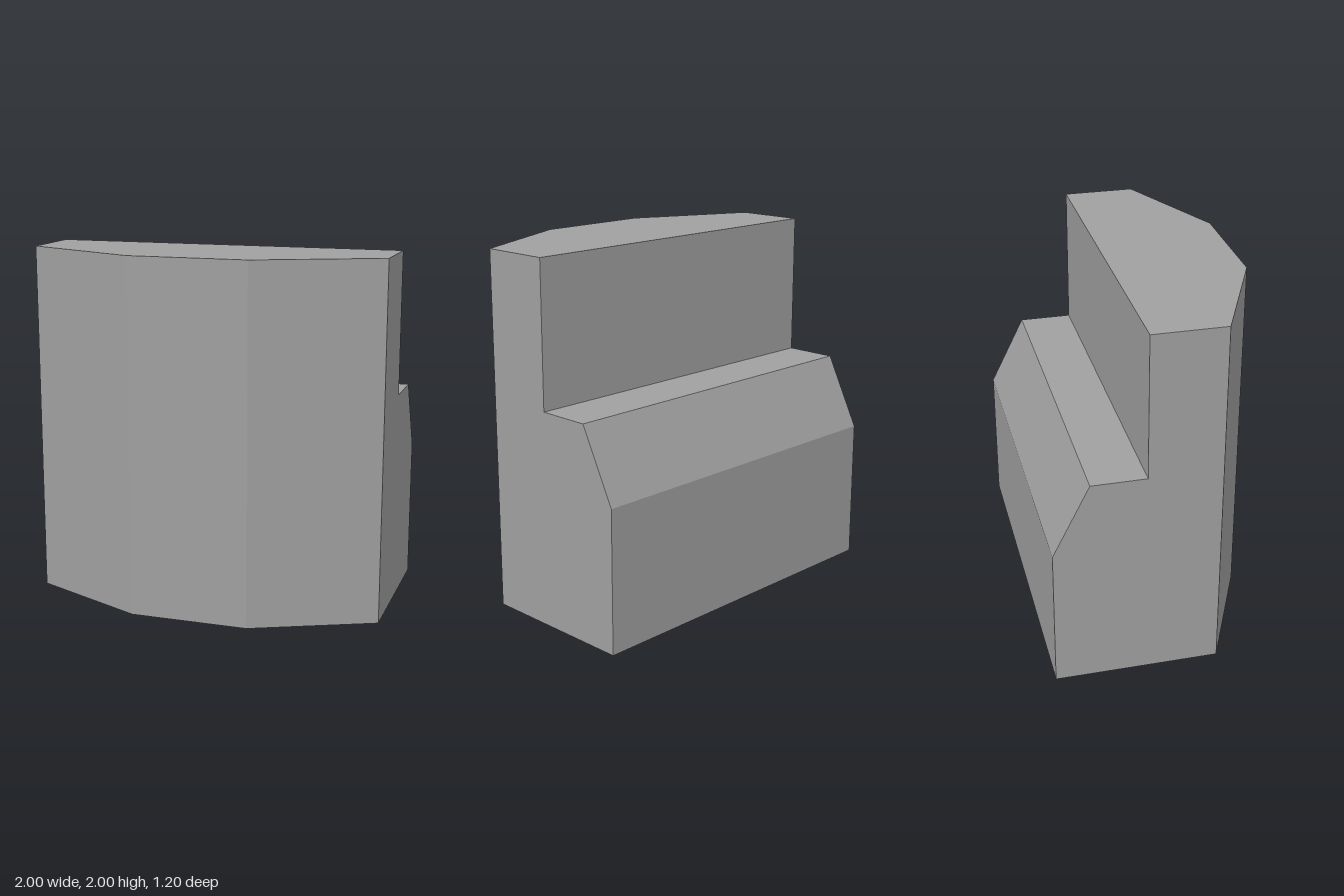
import * as THREE from 'three';

export function createModel() {
  const group = new THREE.Group();
  const grey = new THREE.MeshStandardMaterial({ color: 0xa0a0a0 });
  grey.name = 'grey';

  // Side profile as [z, y]: tall front wall, rear ledge with a sloped edge
  const profile = [[-0.6, 0], [0.6, 0], [0.6, 2], [-0.1, 2], [-0.1, 1.2], [-0.4, 1.2], [-0.6, 0.8]];
  const shape = new THREE.Shape(profile.map(([z, y]) => new THREE.Vector2(z, y)));

  // Sweep across the width in three equal facets
  const geometry = new THREE.ExtrudeGeometry(shape, { depth: 2, steps: 3, bevelEnabled: false });
  geometry.rotateY(-Math.PI / 2);
  geometry.translate(1, 0, 0);

  // Pull the outer front edges back so the front bows outward
  const pos = geometry.attributes.position;
  for (let i = 0; i < pos.count; i++) {
    if (Math.abs(pos.getX(i)) > 0.9 && pos.getZ(i) > 0.5) pos.setZ(i, 0.3);
  }
  geometry.computeVertexNormals();

  const block = new THREE.Mesh(geometry, grey);
  block.name = 'steppedBlock';
  group.add(block);
  return group;
}
